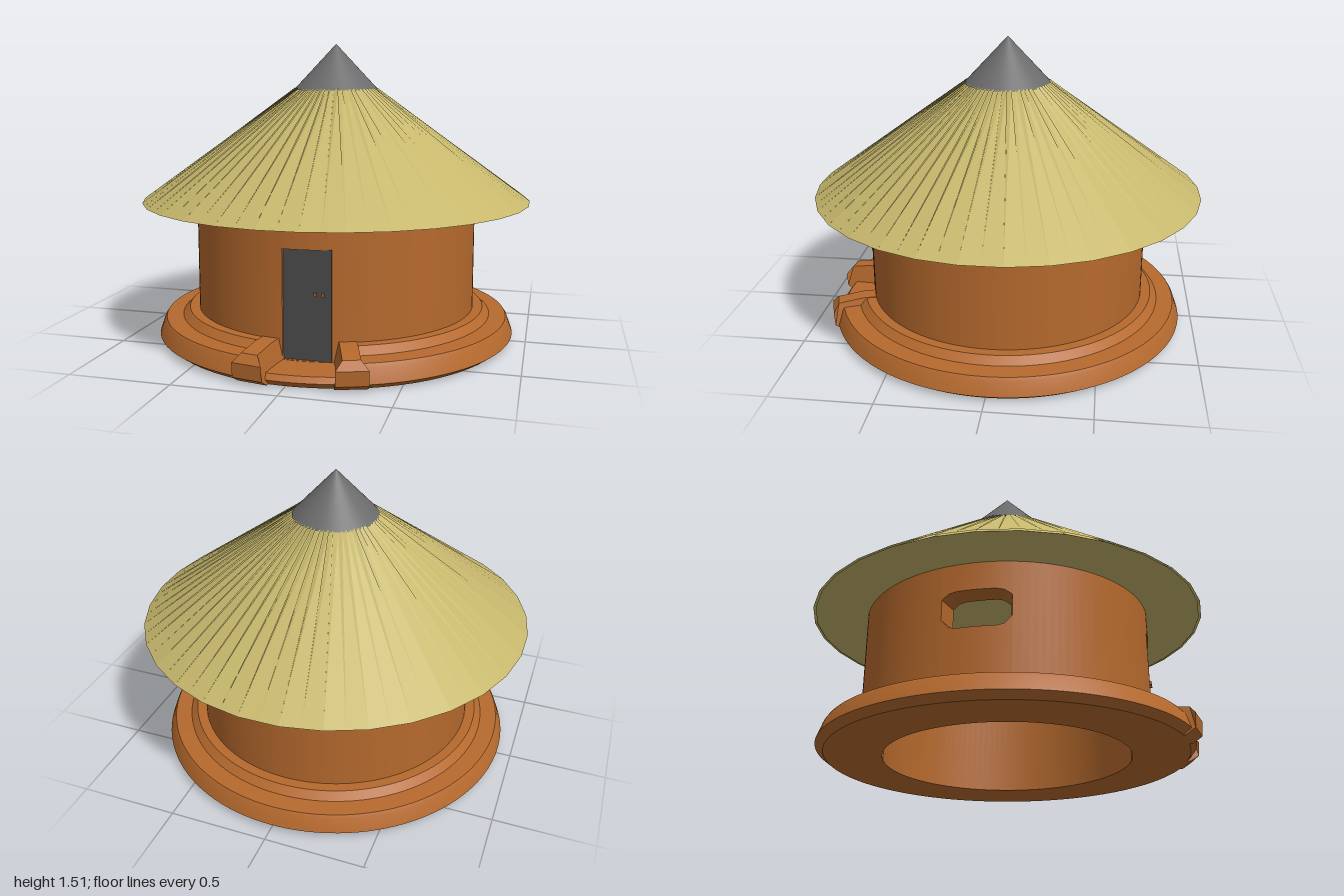
import * as THREE from 'three';
import { toCreasedNormals } from 'three/addons/utils/BufferGeometryUtils.js';

const RAD = Math.PI / 180;
const mat = (color, extra = {}) => {
  const m = new THREE.MeshStandardMaterial({ color });
  return Object.assign(m, extra);
};

function build(positions) {
  const g = new THREE.BufferGeometry();
  g.setAttribute('position', new THREE.Float32BufferAttribute(positions, 3));
  return g;
}

// Sweeps a closed (radius, height) section around y; angle 0 is +z, 90 is +x.
// The section may vary with the sweep fraction t.
function sweep(a0, a1, section) {
  const n = Math.max(2, Math.ceil((a1 - a0) / 3));
  const pos = [];
  const rings = [];
  for (let i = 0; i <= n; i++) {
    const a = (a0 + (a1 - a0) * i / n) * RAD;
    rings.push(section(i / n).map(([r, y]) => [r * Math.sin(a), y, r * Math.cos(a)]));
  }
  const m = rings[0].length;
  for (let i = 0; i < n; i++) {
    for (let j = 0; j < m; j++) {
      const k = (j + 1) % m;
      const a = rings[i][j], b = rings[i + 1][j], c = rings[i + 1][k], d = rings[i][k];
      pos.push(...a, ...b, ...c, ...a, ...c, ...d);
    }
  }
  // End caps
  [0, n].forEach((i) => {
    const outline = section(i / n).map(([r, y]) => new THREE.Vector2(r, y));
    for (const [a, b, c] of THREE.ShapeUtils.triangulateShape(outline, [])) {
      const order = i === 0 ? [a, b, c] : [c, b, a];
      order.forEach((v) => pos.push(...rings[i][v]));
    }
  });
  return toCreasedNormals(build(pos), 0.35);
}

export function createModel() {
  const model = new THREE.Group();
  model.name = 'roundHut';
  const clay = mat(0xb5692d);
  const thatch = mat(0xc6b76c, { flatShading: true, side: THREE.DoubleSide });
  const slate = mat(0x6b6b6b);
  const doorGrey = mat(0x4a4a4a);
  const add = (name, geometry, material, parent = model) => {
    const mesh = new THREE.Mesh(geometry, material);
    mesh.name = name;
    parent.add(mesh);
    return mesh;
  };

  // Clay wall, split around the doorway and the side window
  const IN = 0.61, OUT = 0.725, TOP = 0.73;
  const band = (lo, hi) => [[IN, lo], [OUT, lo], [OUT, hi], [IN, hi]];
  const door0 = -5.2, door1 = 12.8, win0 = 259.6, win1 = 285.2;
  const wall = new THREE.Group();
  wall.name = 'wall';
  model.add(wall);
  add('wallLong', sweep(door1, win0, () => band(0, TOP)), clay, wall);
  add('wallShort', sweep(win1, 360 + door0, () => band(0, TOP)), clay, wall);
  add('doorLintel', sweep(door0, door1, () => band(0.58, TOP)), clay, wall);
  add('doorSill', sweep(door0, door1, () => band(0, 0.062)), clay, wall);
  // Rounded window corners
  const corner = (t) => Math.max(0, (Math.abs(2 * t - 1) - 0.6) / 0.4) ** 2;
  add('windowSill', sweep(win0, win1, (t) => band(0, 0.4 + 0.05 * corner(t))), clay, wall);
  add('windowLintel', sweep(win0, win1, (t) => band(0.58 - 0.03 * corner(t), TOP)), clay, wall);

  // Stepped plinth, open in front of the door
  const curbAngles = [-10, 18.8];
  const plinth = [[0.7, 0], [0.89, 0], [0.93, 0.03], [0.905, 0.1], [0.895, 0.115],
    [0.81, 0.12], [0.775, 0.155], [0.7, 0.155]];
  add('plinth', sweep(curbAngles[1], 360 + curbAngles[0], () => plinth), clay);
  const step = [[0.68, 0], [0.885, 0], [0.915, 0.03], [0.895, 0.055], [0.68, 0.062]];
  add('doorStep', sweep(curbAngles[0], curbAngles[1], () => step), clay);

  // Curbs on both sides of the step, narrower at the top
  const side = new THREE.Shape([[0.68, 0], [0.9, 0], [0.945, 0.03], [0.95, 0.1],
    [0.92, 0.14], [0.79, 0.158], [0.68, 0.158]].map(([x, y]) => new THREE.Vector2(x, y)));
  for (const angle of curbAngles) {
    const g = new THREE.ExtrudeGeometry(side, { depth: 0.15, bevelEnabled: false });
    g.translate(0, 0, -0.075);
    const p = g.attributes.position;
    for (let i = 0; i < p.count; i++) {
      if (p.getY(i) > 0.12) p.setZ(i, p.getZ(i) * 0.55);
    }
    g.rotateY((angle - 90) * RAD);
    add('stepCurb', toCreasedNormals(g, 0.35), clay);
  }

  // Door leaf with a small handle
  const door = new THREE.Group();
  door.name = 'door';
  door.position.set(0.048, 0.32, 0.695);
  model.add(door);
  add('doorLeaf', new THREE.BoxGeometry(0.232, 0.525, 0.03), doorGrey, door);
  for (const x of [0.04, 0.078]) {
    const knob = add('doorHandle', new THREE.BoxGeometry(0.012, 0.018, 0.014), clay, door);
    knob.position.set(x, 0.055, 0.02);
  }

  // Thatched roof: closed core under slightly lifted straw panels
  const SIDES = 32, LOW = 0.715, HIGH = 1.28;
  const core = new THREE.CylinderGeometry(0.205, 0.99, HIGH - LOW, SIDES);
  core.rotateY(Math.PI / SIDES);
  core.translate(0, (LOW + HIGH) / 2, 0);
  add('roofCore', core, thatch);

  let seed = 7;
  const rand = () => (seed = (seed * 16807) % 2147483647) / 2147483647;
  const straw = [];
  const rim = (k, r, y) => {
    const a = (k + 0.5) * 2 * Math.PI / SIDES;
    return new THREE.Vector3(r * Math.sin(a), y, r * Math.cos(a));
  };
  for (let k = 0; k < SIDES; k++) {
    const low = [rim(k, 1.002, LOW), rim(k + 1, 1.002, LOW)];
    const high = [rim(k, 0.212, HIGH), rim(k + 1, 0.212, HIGH)];
    const out = low[0].clone().add(low[1]).setY(0).normalize().multiplyScalar(0.58).setY(0.81);
    for (let s = 0; s < 2; s++) {
      const at = (ends, f, lift) => ends[0].clone().lerp(ends[1], f).addScaledVector(out, lift);
      const f0 = s / 2, f1 = (s + 1) / 2, lift = 0.003 + 0.007 * rand();
      const a = at(low, f0, 0), b = at(low, f1, 0);
      const c = at(high, f1, lift), d = at(high, f0, 0);
      for (const v of [a, b, c, a, c, d]) straw.push(v.x, v.y, v.z);
    }
  }
  const panels = build(straw);
  panels.computeVertexNormals();
  add('strawPanels', panels, thatch);

  // Pointed cap
  const cap = add('roofCap', new THREE.ConeGeometry(0.22, 0.235, 48), slate);
  cap.position.y = 1.395;

  return model;
}
